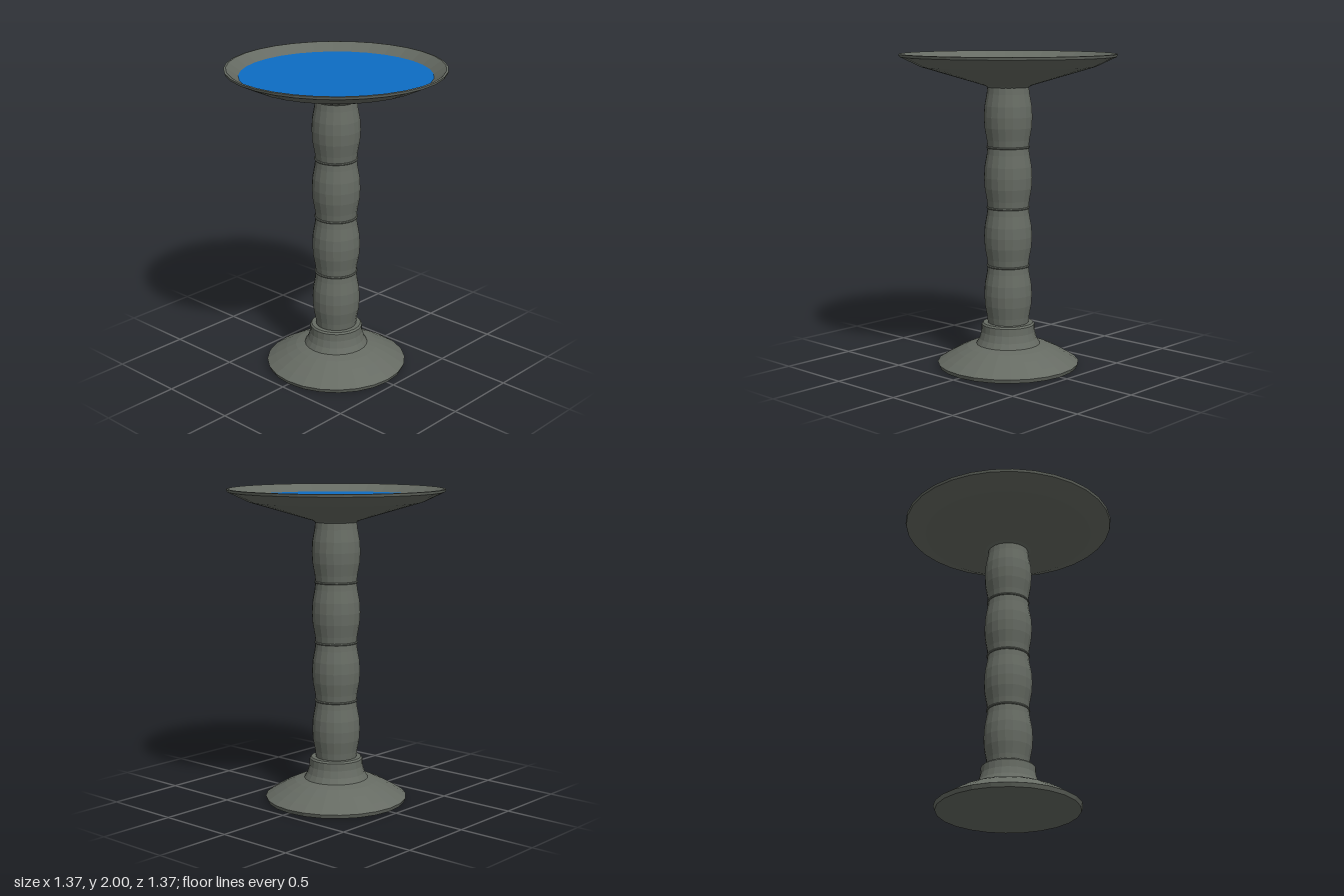
import * as THREE from 'three';

const stone = new THREE.MeshStandardMaterial({ color: 0x666b63, flatShading: true });
const water = new THREE.MeshStandardMaterial({ color: 0x0d6cc4 });

// Turned part from [radius, height] pairs, listed from bottom to top on the outside
function turned(name, profile, sides) {
  const points = profile.map(([r, y]) => new THREE.Vector2(r, y));
  const mesh = new THREE.Mesh(new THREE.LatheGeometry(points, sides), stone);
  mesh.name = name;
  return mesh;
}

export function createModel() {
  const group = new THREE.Group();
  group.name = 'birdbath';

  // Flared foot with a raised collar
  group.add(turned('base', [
    [0, 0], [0.445, 0], [0.455, 0.025], [0.4, 0.06], [0.33, 0.1], [0.265, 0.13],
    [0.205, 0.145], [0.185, 0.18], [0.172, 0.225], [0.17, 0.272], [0.16, 0.283], [0, 0.283],
  ], 24));

  // Column of four bulging drums with a thin bead at each joint
  const joints = [0.28, 0.655, 1.03, 1.415, 1.795];
  const bulge = [[0, 0.131], [0.12, 0.136], [0.32, 0.15], [0.5, 0.154], [0.68, 0.15], [0.88, 0.136], [1, 0.131]];
  for (let i = 0; i < 4; i++) {
    const y = joints[i], h = joints[i + 1] - y;
    group.add(turned('columnDrum' + (i + 1), bulge.map(([t, r]) => [r, y + t * h]), 20));
    if (i > 0) {
      const bead = new THREE.Mesh(new THREE.TorusGeometry(0.132, 0.007, 6, 24), stone);
      bead.name = 'columnBead' + i;
      bead.rotation.x = Math.PI / 2;
      bead.position.y = y;
      group.add(bead);
    }
  }

  // Shallow bowl: outside, rim, then back down the inside
  group.add(turned('bowl', [
    [0, 1.79], [0.13, 1.79], [0.15, 1.802], [0.34, 1.858], [0.55, 1.92], [0.68, 1.982],
    [0.685, 1.998], [0.672, 2], [0.595, 1.948], [0.5, 1.91], [0.3, 1.86], [0, 1.84],
  ], 32));

  // Water filling the bowl
  const surface = new THREE.Mesh(new THREE.CircleGeometry(0.597, 32), water);
  surface.name = 'water';
  surface.rotation.x = -Math.PI / 2;
  surface.position.y = 1.95;
  group.add(surface);

  return group;
}
